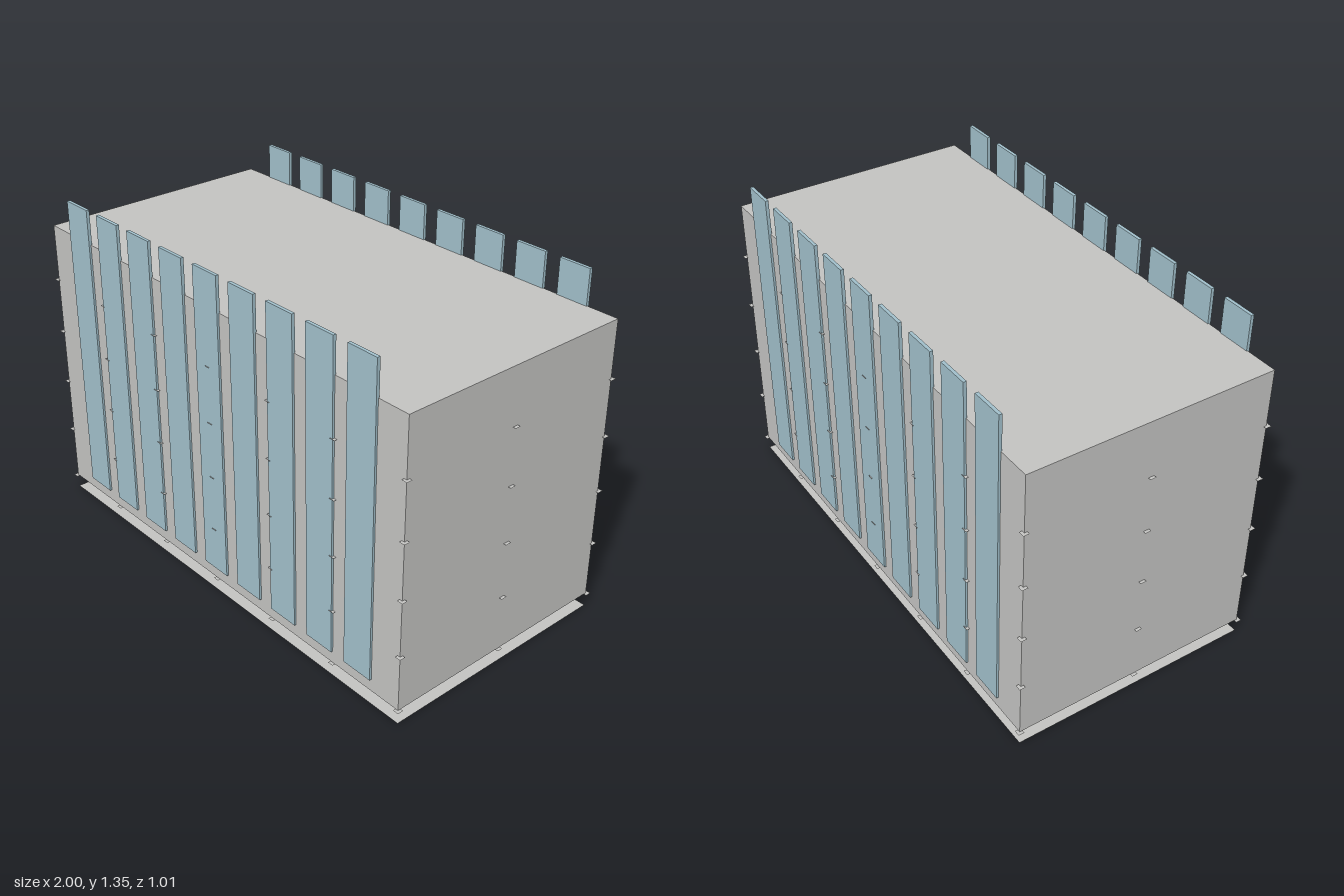
import * as THREE from 'three';

export function createModel() {
  const model = new THREE.Group();
  model.name = 'finnedBuilding';

  const wallGrey = new THREE.MeshStandardMaterial({ color: 0xc2c2c0, side: THREE.DoubleSide });
  wallGrey.name = 'wallGrey';
  const finBlue = new THREE.MeshStandardMaterial({ color: 0xa0bec9 });
  finBlue.name = 'finBlue';

  const halfX = 0.988, halfZ = 0.494, bottom = 0.057, top = 1.206;

  const add = (name, geometry, material, x, y, z) => {
    const mesh = new THREE.Mesh(geometry, material);
    mesh.name = name;
    mesh.position.set(x, y, z);
    model.add(mesh);
  };

  // Main block, raised slightly above the ground sheet
  add('block', new THREE.BoxGeometry(2 * halfX, top - bottom, 2 * halfZ), wallGrey, 0, (top + bottom) / 2, 0);

  // Thin sheet under the block
  const sheet = new THREE.PlaneGeometry(2 * halfX, 2 * halfZ).rotateX(-Math.PI / 2);
  add('groundSheet', sheet, wallGrey, 0, 0, 0);

  // Nine vertical fins on the front and on the back
  const finBottom = 0.107, finTop = 1.347;
  const fin = new THREE.BoxGeometry(0.132, finTop - finBottom, 0.013);
  for (const side of [1, -1]) {
    for (let i = -4; i <= 4; i++) {
      add(side > 0 ? 'frontFin' : 'backFin', fin, finBlue, i * 0.1973, (finTop + finBottom) / 2, side * 0.496);
    }
  }

  // Flat column plates around the outline, one ring per storey
  const spots = [[-halfX, 0], [halfX, 0]];
  for (let i = -3; i <= 3; i++) {
    spots.push([i * halfX / 3, halfZ], [i * halfX / 3, -halfZ]);
  }
  const plate = new THREE.PlaneGeometry(0.024, 0.024).rotateX(-Math.PI / 2);
  const storey = (top - bottom) / 5;
  for (let level = 0; level < 5; level++) {
    for (const [x, z] of spots) add('columnPlate', plate, wallGrey, x, bottom + level * storey, z);
  }

  return model;
}
